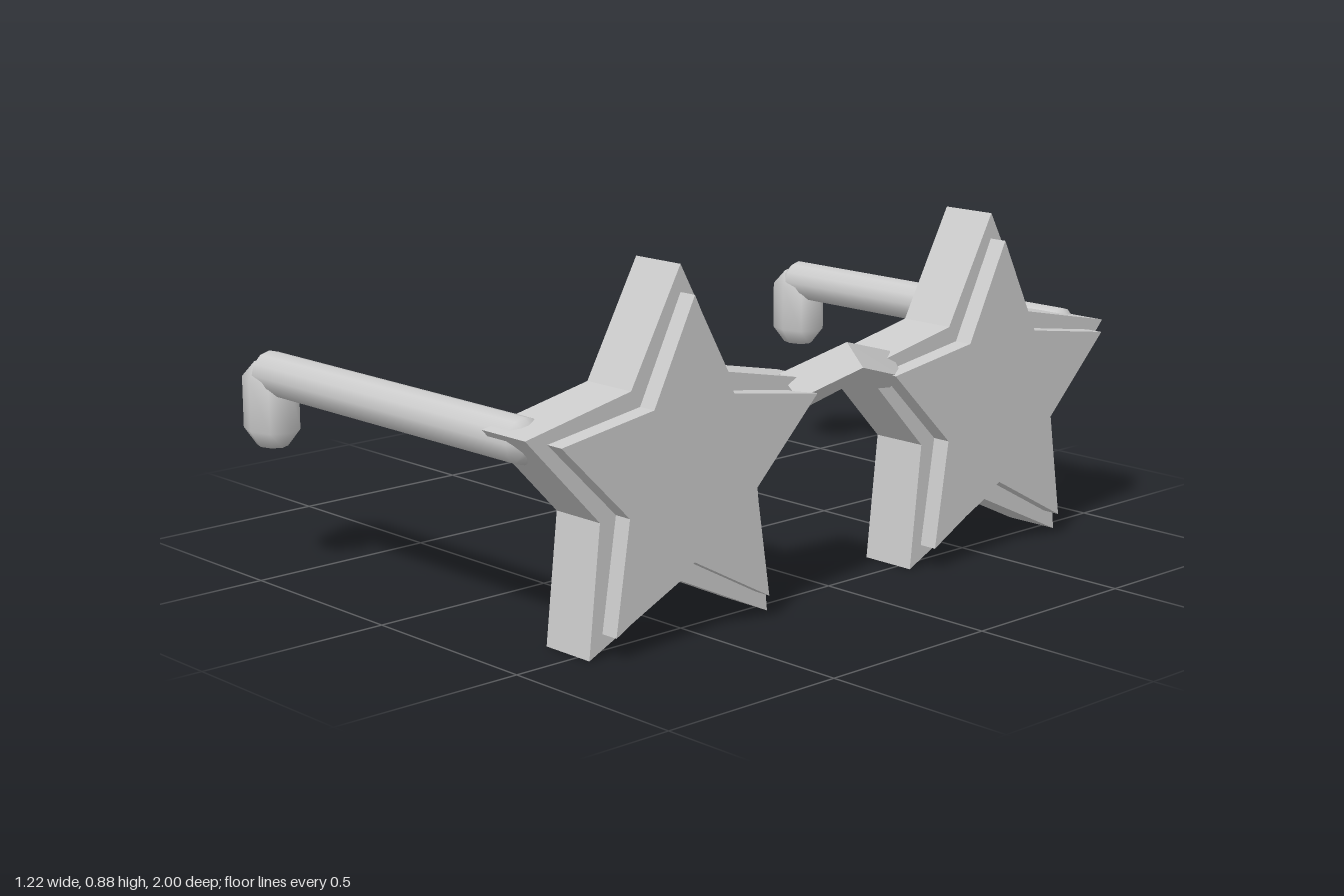
import * as THREE from 'three';

const material = new THREE.MeshStandardMaterial({ color: 0xcccccc });

function addMesh(parent, name, geometry) {
  const mesh = new THREE.Mesh(geometry, material);
  mesh.name = name;
  parent.add(mesh);
  return mesh;
}

// Five-pointed star slab facing +x; half is the right half outline from top to bottom notch
function starSlab(half, x0, x1) {
  const left = half.slice(1, -1).reverse().map(([x, y]) => [-x, y]);
  const points = [...half, ...left].map(([x, y]) => new THREE.Vector2(x, y));
  return new THREE.ExtrudeGeometry(new THREE.Shape(points), { depth: x1 - x0, bevelEnabled: false })
    .rotateY(Math.PI / 2)
    .translate(x0, 0, 0);
}

// Smooth round body from a (radius, height) profile
function lathe(profile, sides) {
  return new THREE.LatheGeometry(profile.map(([r, y]) => new THREE.Vector2(r, y)), sides);
}

// Two-segment bar of diamond section, bent up and forward in the middle
function bridgeGeometry() {
  const geometry = new THREE.CylinderGeometry(0.055, 0.055, 0.35, 4, 2).rotateX(Math.PI / 2).toNonIndexed();
  const p = geometry.attributes.position;
  for (let i = 0; i < p.count; i++) {
    const x = p.getX(i), y = p.getY(i), z = p.getZ(i);
    const t = Math.abs(z) / 0.175;
    p.setXYZ(i, x + 0.552 - 0.037 * t, y + 0.57 - 0.055 * t, z + Math.sign(z) * t * (y * 0.32 + x * 0.15));
  }
  geometry.computeVertexNormals();
  return geometry;
}

export function createModel() {
  const group = new THREE.Group();
  group.name = 'starGlasses';

  const frame = starSlab([[0, 0.88], [0.152, 0.607], [0.463, 0.543], [0.248, 0.318], [0.283, 0], [0, 0.132]], 0.39, 0.54);
  const lens = starSlab([[0, 0.815], [0.125, 0.567], [0.4, 0.525], [0.2, 0.328], [0.243, 0.056], [0, 0.187]], 0.53, 0.588);
  const arm = lathe([[0, -0.567], [0.03, -0.562], [0.055, -0.53], [0.055, 0.455], [0.03, 0.485], [0, 0.487]], 12)
    .rotateZ(-Math.PI / 2);
  const hook = lathe([[0, 0.33], [0.045, 0.332], [0.081, 0.375], [0.081, 0.505], [0.045, 0.543], [0, 0.545]], 8)
    .scale(1, 1, 0.79);

  for (const [side, s] of [['left', 1], ['right', -1]]) {
    // Star rim and raised lens
    addMesh(group, side + 'Frame', frame).position.z = 0.537 * s;
    addMesh(group, side + 'Lens', lens).position.z = 0.537 * s;
    // Temple arm and the ear hook at its end
    addMesh(group, side + 'Temple', arm).position.set(0, 0.517, 0.931 * s);
    addMesh(group, side + 'EarHook', hook).position.set(-0.53, 0, 0.931 * s);
  }

  // Nose bridge
  addMesh(group, 'bridge', bridgeGeometry());
  return group;
}
